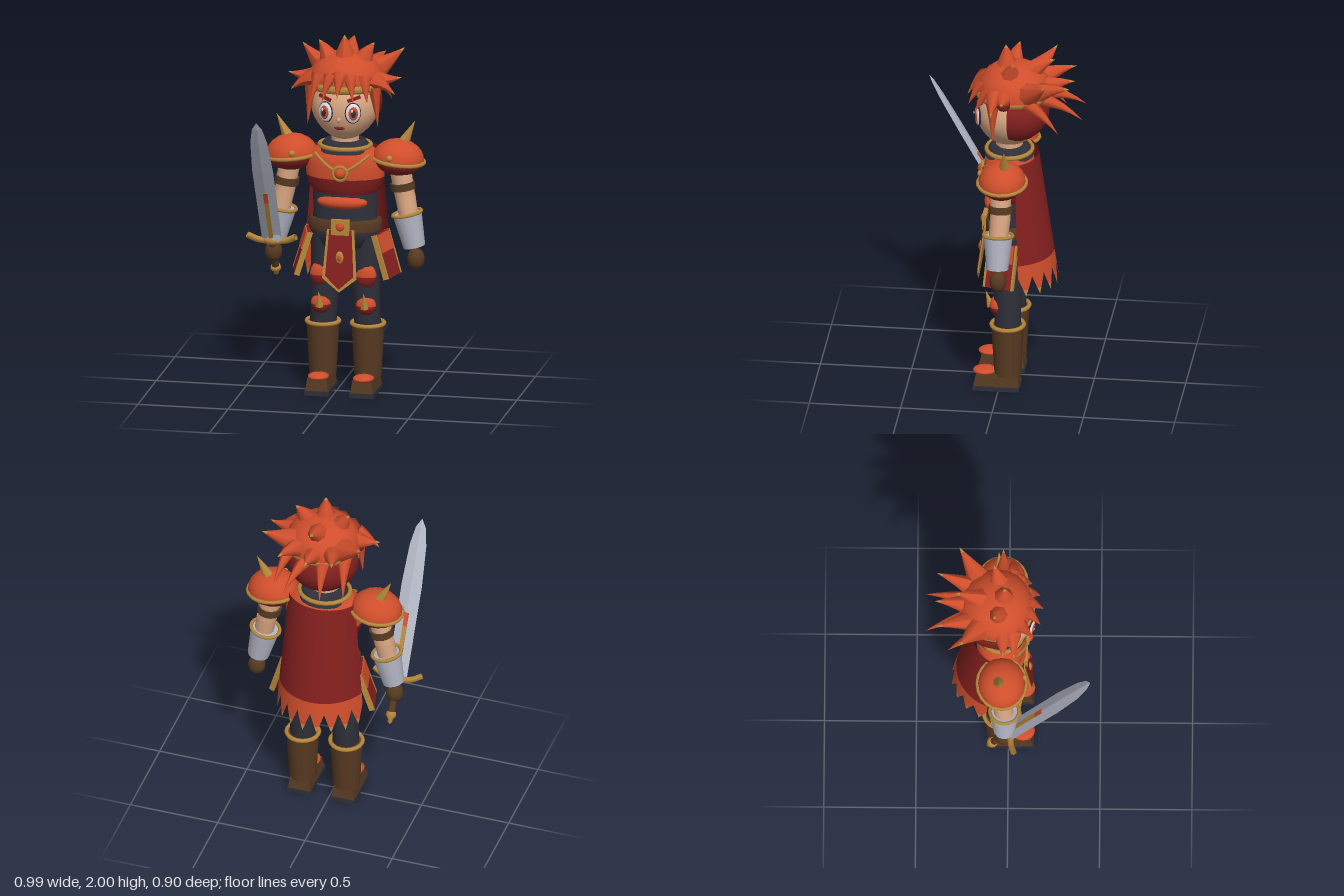
import * as THREE from 'three';

const paint = (name, color) => {
  const m = new THREE.MeshStandardMaterial({ color, side: THREE.DoubleSide });
  m.name = name;
  return m;
};
const V = (x, y, z) => new THREE.Vector3(x, y, z);
const ball = (w = 16, h = 12) => new THREE.SphereGeometry(1, w, h);
const upperDome = () => new THREE.SphereGeometry(1, 16, 6, 0, Math.PI * 2, 0, Math.PI / 2);
const lowerDome = () => new THREE.SphereGeometry(1, 16, 6, 0, Math.PI * 2, Math.PI / 2, Math.PI / 2);
const lathe = (pts, n = 20) => new THREE.LatheGeometry(pts.map(p => new THREE.Vector2(...p)), n);
const tube = (pts, r, n = 10) => new THREE.TubeGeometry(new THREE.CatmullRomCurve3(pts), n, r, 6);

// Slice t0..t1 of a curved cone running from a through m to b
function taper(a, m, b, r, t0, t1) {
  const g = new THREE.CylinderGeometry(1 - t1, 1 - t0, 1, 7, 4, true);
  const curve = new THREE.QuadraticBezierCurve3(a, m, b);
  const q = new THREE.Quaternion().setFromUnitVectors(V(0, 1, 0), b.clone().sub(a).normalize());
  const p = g.attributes.position;
  for (let i = 0; i < p.count; i++) {
    const t = t0 + (p.getY(i) + 0.5) * (t1 - t0);
    const v = V(p.getX(i) * r, 0, p.getZ(i) * r).applyQuaternion(q).add(curve.getPoint(t));
    p.setXYZ(i, v.x, v.y, v.z);
  }
  g.computeVertexNormals();
  return g;
}

// Curved cape surface between two height rules
function capeSheet(top, bottom, rows, cols = 48) {
  const g = new THREE.PlaneGeometry(1, 1, cols, rows);
  const p = g.attributes.position;
  for (let i = 0; i < p.count; i++) {
    const u = p.getX(i) * 2, y = THREE.MathUtils.lerp(bottom(u), top(u), p.getY(i) + 0.5);
    const k = (1.36 - y) / 0.76, a = u * 1.2, c = Math.cos(1.2);
    const edge = -0.09 - 0.03 * k, back = -0.2 - 0.11 * k;
    p.setXYZ(i, -(0.19 + 0.06 * k) * Math.sin(a) / Math.sin(1.2), y,
      edge + (back - edge) * (Math.cos(a) - c) / (1 - c));
  }
  g.computeVertexNormals();
  return g;
}

export function createModel() {
  const orange = paint('orange red', 0xd04e2c), red = paint('dark red', 0x85201f);
  const gold = paint('gold', 0xb8883c), brown = paint('brown leather', 0x573a22);
  const dark = paint('dark cloth', 0x2e2f39), skin = paint('skin', 0xdca884);
  const silver = paint('silver', 0xb2b6c4), white = paint('eye white', 0xe6e9f0);

  const model = new THREE.Group();
  const body = new THREE.Group();
  body.name = 'body';
  body.position.x = 0.04;
  model.add(body);
  const add = (name, geo, mat, pos = [0, 0, 0], scale = [1, 1, 1], rot = [0, 0, 0], parent = body) => {
    const m = new THREE.Mesh(geo, mat);
    m.name = name;
    m.position.set(...pos); m.scale.set(...scale); m.rotation.set(...rot);
    parent.add(m);
    return m;
  };
  const limb = (name, a, b, ra, rb, mat) => {
    const d = b.clone().sub(a);
    const m = add(name, new THREE.CylinderGeometry(rb, ra, d.length(), 14), mat, a.clone().lerp(b, 0.5).toArray());
    m.quaternion.setFromUnitVectors(V(0, 1, 0), d.normalize());
    return m;
  };
  const ring = (name, r, t, mat, pos, scale = [1, 1, 1], rotY = 0) =>
    add(name, new THREE.TorusGeometry(r, t, 6, 20).rotateX(Math.PI / 2), mat, pos, scale, [0, 0, rotY]);
  const spike = (name, base, tip, r, lift = 0.03, split = 0.86, mat = orange) => {
    const a = V(...base), b = V(...tip), m = a.clone().lerp(b, 0.5);
    m.y += lift;
    add(name, taper(a, m, b, r, 0, split), mat);
    if (split < 1) add(name + 'Tip', taper(a, m, b, r, split, 1), gold);
  };

  // Torso, armour and belt
  const oval = [1, 1, 0.63], mid = [0, 0, -0.04];
  add('undersuit', lathe([[0, 0.8], [0.17, 0.82], [0.195, 0.9], [0.175, 1], [0.18, 1.1], [0.17, 1.14]]), dark, mid, oval);
  add('lowerBreastplate', lathe([[0.165, 1.11], [0.2, 1.15], [0.217, 1.21]]), red, mid, oval);
  add('breastplate', lathe([[0.217, 1.21], [0.22, 1.28], [0.2, 1.34], [0.14, 1.375], [0, 1.38]]), orange, mid, oval);
  add('stomachPlate', ball(), orange, [0, 1.075, 0.04], [0.14, 0.042, 0.055]);
  add('collar', lathe([[0.15, 1.35], [0.125, 1.39], [0.11, 1.41], [0.08, 1.41]]), dark, mid, [1, 1, 0.9]);
  ring('collarTrim', 0.14, 0.013, gold, [0, 1.38, -0.04], [1, 1, 0.9]);
  limb('neck', V(0, 1.36, -0.04), V(0, 1.47, -0.04), 0.075, 0.075, skin);
  add('chestRing', new THREE.TorusGeometry(0.038, 0.01, 6, 16), gold, [0, 1.25, 0.105]);
  add('chestGem', ball(), orange, [0, 1.25, 0.1], [0.032, 0.032, 0.035]);
  add('belt', lathe([[0.19, 0.905], [0.203, 0.91], [0.203, 0.97], [0.18, 0.975]]), brown, mid, oval);
  add('buckle', new THREE.BoxGeometry(0.1, 0.085, 0.025), gold, [0, 0.945, 0.092]);
  add('buckleGem', ball(), orange, [0, 0.95, 0.104], [0.024, 0.024, 0.015]);

  // Front tabard hanging from the belt
  const panel = (w, drop) => new THREE.ExtrudeGeometry(new THREE.Shape([[-0.075, 0], [-0.095, -0.27], [0, -0.345],
    [0.095, -0.27], [0.075, 0]].map(([x, y]) => new THREE.Vector2(x * w, y * drop))), { depth: 0.008, bevelEnabled: false });
  const tabard = [-0.13, 0, 0];
  add('tabardTrim', panel(1, 1), gold, [0, 0.93, 0.083], [1, 1, 1], tabard);
  add('tabard', panel(0.82, 0.95), red, [0, 0.93, 0.088], [1, 1, 1], tabard);
  add('tabardStud', ball(), gold, [0, 0.78, 0.115], [0.022, 0.035, 0.012]);
  add('tabardGem', ball(), orange, [0, 0.78, 0.121], [0.012, 0.02, 0.01]);

  // Cape with a toothed hem
  const tooth = u => 0.71 - 0.11 * (1 - Math.abs(((u + 1) * 4) % 1 - 0.5) * 2);
  add('cape', capeSheet(() => 1.36, () => 0.78, 10), red);
  add('capeHem', capeSheet(() => 0.78, u => Math.max(tooth(u), 0.635), 2), orange);
  add('capeHemTips', capeSheet(u => Math.max(tooth(u), 0.635), tooth, 1), gold);

  // Head: rounded skull narrowing to the chin
  const skull = ball(24, 18), sp = skull.attributes.position;
  for (let i = 0; i < sp.count; i++) {
    const d = Math.max(0, -sp.getY(i));
    sp.setX(i, sp.getX(i) * (1 - 0.2 * d * d));
  }
  skull.computeVertexNormals();
  add('head', skull, skin, [0, 1.605, -0.04], [0.185, 0.195, 0.18]);
  add('nose', ball(8, 6), skin, [0, 1.56, 0.137], [0.012, 0.014, 0.016]);
  add('mouth', ball(10, 6), red, [0, 1.51, 0.115], [0.03, 0.01, 0.012]);
  add('backHair', new THREE.SphereGeometry(1, 18, 14, Math.PI * 0.97, Math.PI * 1.06), red, [0, 1.62, -0.065], [0.198, 0.18, 0.195]);
  add('hairCap', new THREE.SphereGeometry(1, 20, 10, 0, Math.PI * 2, 0, Math.PI * 0.53), orange, [0, 1.735, -0.065], [0.205, 0.165, 0.2]);
  ring('headband', 0.195, 0.012, gold, [0, 1.725, -0.06], [1, 2, 1]);

  // Hair spikes: crown, back and fringe
  spike('crownSpike', [0, 1.83, -0.03], [0, 2, -0.02], 0.075);
  spike('crownBackSpike', [0, 1.82, -0.13], [0, 1.925, -0.29], 0.075);
  spike('backSpike', [0, 1.74, -0.2], [0, 1.8, -0.4], 0.065);
  spike('fringeCentre', [0, 1.8, 0.09], [0, 1.69, 0.19], 0.05, 0.04);
  for (const s of [-1, 1]) {
    const sp2 = (name, b, t, ...rest) => spike(name, [s * b[0], b[1], b[2]], [s * t[0], t[1], t[2]], ...rest);
    sp2('upperSpike', [0.08, 1.82, -0.05], [0.155, 1.95, -0.08], 0.07);
    sp2('sideSpike', [0.14, 1.76, -0.03], [0.315, 1.775, -0.03], 0.065, -0.02);
    sp2('rearSideSpike', [0.13, 1.77, -0.15], [0.285, 1.88, -0.27], 0.075, -0.01);
    sp2('rearSpike', [0.09, 1.75, -0.18], [0.155, 1.82, -0.39], 0.065);
    sp2('napeSpike', [0.05, 1.7, -0.23], [0.105, 1.62, -0.45], 0.04, 0.04, 1);
    sp2('lowSpike', [0.15, 1.72, -0.15], [0.2, 1.57, -0.33], 0.045, 0.04, 1);
    sp2('templeSpike', [0.16, 1.76, 0.02], [0.29, 1.69, 0.03], 0.055, 0.03);
    sp2('fringeInner', [0.05, 1.79, 0.09], [0.085, 1.67, 0.175], 0.045, 0.04, 1);
    sp2('fringeOuter', [0.12, 1.78, 0.05], [0.155, 1.66, 0.13], 0.05, 0.04, 1);
    sp2('sideLock', [0.175, 1.73, 0.03], [0.195, 1.5, 0.03], 0.04, 0.02, 1);
    add('templeKnob', ball(7, 5), red, [s * 0.2, 1.73, -0.03], [0.025, 0.04, 0.04]);

    // Eyes and brows
    const eye = new THREE.Group();
    eye.name = 'eye';
    eye.position.set(s * 0.075, 1.6, 0.121);
    eye.rotation.y = s * 0.36;
    body.add(eye);
    const layer = (name, mat, z, w, h, d) => add(name, ball(), mat, [0, 0, z], [w, h, d], [0, 0, 0], eye);
    layer('eyeRim', dark, 0, 0.045, 0.059, 0.014);
    layer('eyeWhite', white, 0.003, 0.042, 0.055, 0.016);
    layer('iris', orange, 0.014, 0.027, 0.038, 0.008);
    layer('pupil', dark, 0.019, 0.014, 0.022, 0.006);
    add('eyeGlint', ball(8, 6), white, [-0.008, 0.016, 0.023], [0.007, 0.009, 0.003], [0, 0, 0], eye);
    add('eyebrow', new THREE.BoxGeometry(0.075, 0.016, 0.014), red, [s * 0.08, 1.678, 0.116], [1, 1, 1], [0, s * 0.4, s * 0.3]);

    // Chest strap
    add('chestStrap', tube([V(s * 0.15, 1.345, 0.045), V(s * 0.09, 1.3, 0.085), V(s * 0.035, 1.265, 0.1)], 0.009), gold);

    // Shoulder guard with rim, stud and spike
    const pad = [s * 0.295, 1.31, -0.035], tilt = -s * 0.1;
    add('shoulderTop', upperDome(), orange, pad, [0.143, 0.115, 0.13], [0, 0, tilt]);
    add('shoulderBottom', lowerDome(), red, pad, [0.135, 0.085, 0.122], [0, 0, tilt]);
    ring('shoulderRim', 0.143, 0.011, gold, pad, [1, 1, 0.93], tilt);
    add('shoulderStud', ball(10, 8), gold, [s * 0.27, 1.345, 0.09], [0.018, 0.018, 0.014]);
    spike('shoulderSpike', [s * 0.31, 1.38, -0.05], [s * 0.385, 1.53, -0.055], 0.04, 0, 1, gold);

    // Arm, band, gauntlet and glove
    limb('upperArm', V(s * 0.3, 1.3, -0.03), V(s * 0.335, 1.1, -0.03), 0.06, 0.055, skin);
    limb('forearm', V(s * 0.335, 1.11, -0.03), V(s * 0.36, 0.97, -0.02), 0.056, 0.052, skin);
    limb('armBand', V(s * 0.318, 1.185, -0.03), V(s * 0.324, 1.145, -0.03), 0.067, 0.067, brown);
    limb('gauntlet', V(s * 0.347, 1.015, -0.02), V(s * 0.387, 0.83, -0.02), 0.08, 0.06, silver);
    ring('gauntletRim', 0.08, 0.01, gold, [s * 0.347, 1.015, -0.02], [1, 1, 1], s * 0.21);
    add('glove', ball(), brown, [s * 0.395, 0.76, -0.025], [0.048, 0.06, 0.046]);

    // Hip guard in two layers with a gold edge
    const hip = new THREE.Group();
    hip.name = 'hipGuard';
    hip.position.set(s * 0.195, 0.9, -0.03);
    hip.rotation.set(0, -s * 0.25, s * 0.3);
    body.add(hip);
    add('hipPlate', new THREE.BoxGeometry(0.025, 0.25, 0.16), red, [0, -0.13, 0], [1, 1, 1], [0, 0, 0], hip);
    add('hipUpperPlate', new THREE.BoxGeometry(0.022, 0.1, 0.14), orange, [s * 0.01, -0.06, 0], [1, 1, 1], [0, 0, 0], hip);
    for (const e of [-1, 1])
      add('hipEdge', new THREE.BoxGeometry(0.03, 0.25, 0.012), gold, [0, -0.13, e * 0.08], [1, 1, 1], [0, 0, 0], hip);

    // Leg with thigh and knee guards
    const x = s * 0.125;
    limb('leg', V(x, 0.33, -0.045), V(s * 0.1, 0.88, -0.04), 0.07, 0.088, dark);
    add('thighGuardTop', upperDome(), orange, [x, 0.655, 0.015], [0.06, 0.075, 0.035]);
    add('thighGuardBottom', lowerDome(), red, [x, 0.655, 0.015], [0.06, 0.065, 0.035]);
    add('kneeTop', upperDome(), orange, [x, 0.49, 0.01], [0.056, 0.055, 0.045]);
    add('kneeBottom', lowerDome(), red, [x, 0.49, 0.01], [0.056, 0.055, 0.045]);
    spike('kneeSpike', [x, 0.485, 0.045], [x, 0.575, 0.075], 0.025, -0.01, 1, gold);

    // Boot
    limb('bootShaft', V(x, 0.085, -0.045), V(x, 0.38, -0.045), 0.074, 0.09, brown);
    ring('bootRim', 0.089, 0.012, gold, [x, 0.378, -0.045]);
    add('sole', new THREE.BoxGeometry(0.135, 0.026, 0.255), dark, [x, 0.013, 0.012]);
    const shoe = new THREE.BoxGeometry(0.125, 0.07, 0.245), q = shoe.attributes.position;
    for (let i = 0; i < q.count; i++) if (q.getY(i) > 0) q.setXYZ(i, q.getX(i) * 0.85, 0.035, q.getZ(i) * 0.92);
    shoe.computeVertexNormals();
    add('shoe', shoe, brown, [x, 0.06, 0.01]);
    add('toeCap', ball(), orange, [x, 0.098, 0.08], [0.058, 0.02, 0.065]);
  }

  // Sword held in the right hand, leaning forward
  const sword = new THREE.Group();
  sword.name = 'sword';
  sword.position.set(-0.395, 0.76, -0.025);
  sword.rotation.x = 0.51;
  body.add(sword);
  const part = (name, geo, mat, pos, scale) => add(name, geo, mat, pos, scale, [0, 0, 0], sword);
  const blade = lathe([[0.055, 0.09], [0.058, 0.6], [0.047, 0.82], [0.028, 0.92], [0, 0.968]], 4).scale(1, 1, 0.2).toNonIndexed();
  blade.computeVertexNormals();
  part('blade', blade, silver);
  part('bladeInlay', new THREE.BoxGeometry(0.024, 0.27, 0.027), gold, [0, 0.235, 0]);
  part('bladeInlayTip', new THREE.BoxGeometry(0.024, 0.075, 0.027), orange, [0, 0.4075, 0]);
  part('guard', tube([V(-0.135, 0.115, 0), V(-0.08, 0.085, 0), V(0, 0.075, 0), V(0.08, 0.085, 0), V(0.135, 0.115, 0)], 0.018, 14), gold);
  part('guardCentre', ball(), gold, [0, 0.08, 0], [0.05, 0.028, 0.028]);
  part('grip', new THREE.CylinderGeometry(0.02, 0.02, 0.2, 10), brown, [0, -0.02, 0]);
  part('pommel', lathe([[0, -0.18], [0.014, -0.165], [0.014, -0.15], [0.03, -0.13], [0.026, -0.11], [0, -0.1]], 12), gold);

  return model;
}
